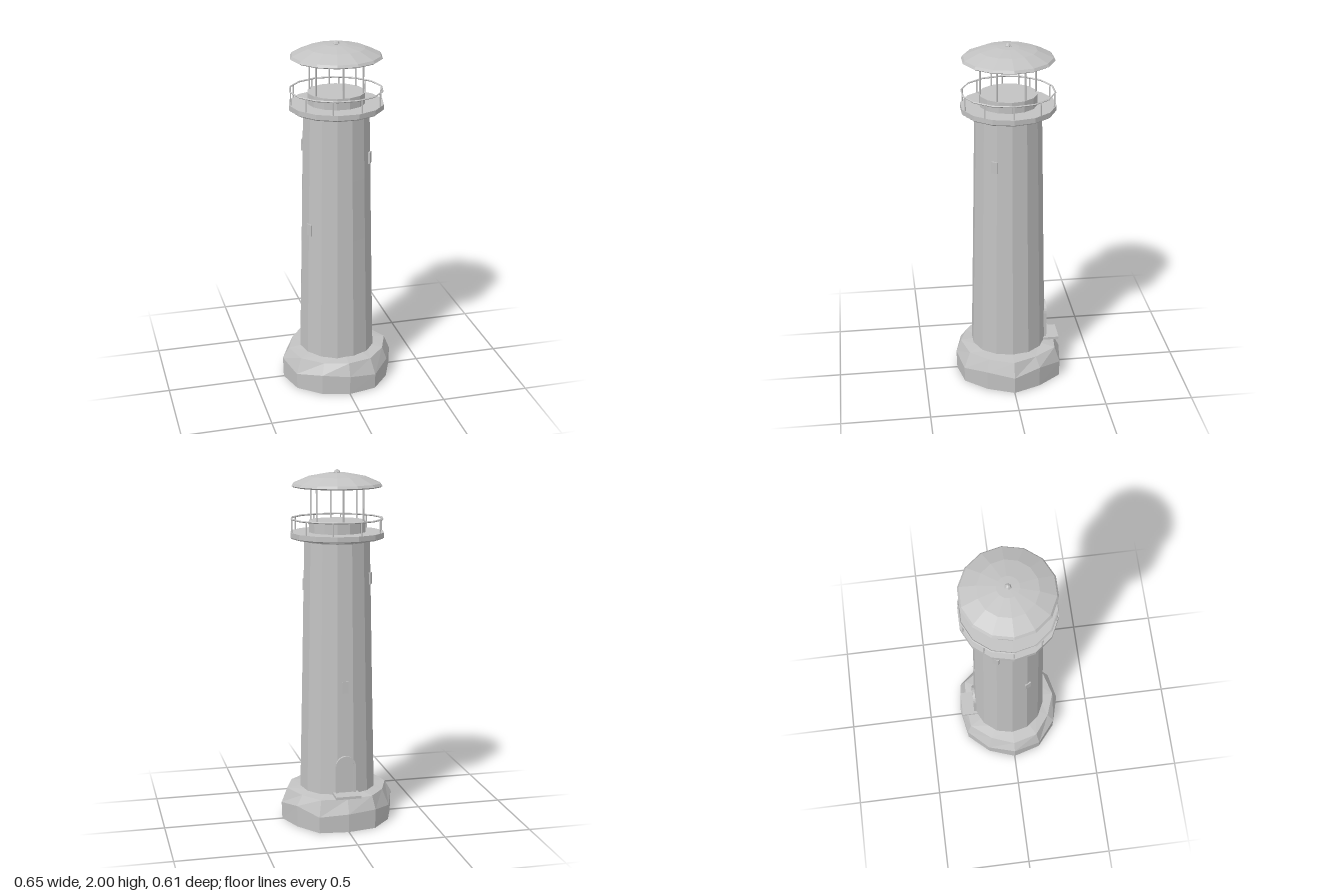
import * as THREE from 'three';

const SIDES = 14;
const stone = new THREE.MeshStandardMaterial({ color: 0xc2c2c2 });
stone.name = 'pale grey stone';

// Faceted mesh with a name
function part(name, geometry, parent) {
  const flat = geometry.index ? geometry.toNonIndexed() : geometry;
  flat.computeVertexNormals();
  const mesh = new THREE.Mesh(flat, stone);
  mesh.name = name;
  parent.add(mesh);
  return mesh;
}

// Turned part: profile of [radius, y] from bottom to top, a corner on the x axis
function turned(name, profile, parent, sides = SIDES) {
  const points = profile.map(([r, y]) => new THREE.Vector2(r, y));
  return part(name, new THREE.LatheGeometry(points, sides, Math.PI / 2), parent);
}

// Irregular rock foundation: rings of corners scaled from one rough outline
function rockBase(parent) {
  const outline = [0.329, 0.307, 0.321, 0.311, 0.312, 0.326, 0.329, 0.316, 0.324, 0.31, 0.334, 0.31];
  const wobble = [0.01, -0.012, 0.004, 0, -0.008, 0.012, -0.004, 0.006, -0.01, 0.004, 0.01, -0.008];
  const rings = [[0, 0], [0.98, 0], [0.99, 0.105], [0.88, 0.182], [0.6, 0.195], [0, 0.195]];
  const n = outline.length, positions = [], index = [];
  rings.forEach(([scale, y], k) => {
    for (let i = 0; i < n; i++) {
      const a = (i / n) * Math.PI * 2;
      const w = k === 2 || k === 3 ? wobble[(i + k * 3) % n] : 0;
      const r = outline[i] * scale + (k === 3 ? w * 0.6 : 0);
      positions.push(Math.cos(a) * r, y + (k === 2 ? w * 1.5 : w * 0.3), Math.sin(a) * r);
    }
  });
  for (let k = 0; k < rings.length - 1; k++) {
    for (let i = 0; i < n; i++) {
      const a = k * n + i, b = k * n + (i + 1) % n;
      if (k > 0) index.push(a, a + n, b);
      if (k < rings.length - 2) index.push(b, a + n, b + n);
    }
  }
  // Flat underside
  for (let i = 0; i < n; i++) index.push(0, n + i, n + (i + 1) % n);
  const g = new THREE.BufferGeometry();
  g.setAttribute('position', new THREE.Float32BufferAttribute(positions, 3));
  g.setIndex(index);
  part('rockBase', g, parent);
}

// Arched outline, standing on y = 0
function arch(path, width, straight) {
  path.moveTo(-width / 2, 0);
  path.lineTo(width / 2, 0);
  path.lineTo(width / 2, straight);
  path.absarc(0, straight, width / 2, 0, Math.PI, false);
  path.closePath();
  return path;
}

function doorway(parent) {
  const door = new THREE.Group();
  door.name = 'doorway';
  const extrude = (shape, depth) => new THREE.ExtrudeGeometry(shape, { depth, bevelEnabled: false, curveSegments: 6 });
  const frame = arch(new THREE.Shape(), 0.114, 0.16);
  const hole = new THREE.Path();
  frame.holes.push(arch(hole, 0.09, 0.16));
  part('doorFrame', extrude(frame, 0.03), door);
  part('doorPanel', extrude(arch(new THREE.Shape(), 0.092, 0.16), 0.024), door);
  door.rotation.y = Math.PI;
  door.position.set(0, 0.2, -0.191);
  parent.add(door);
  part('doorStep', new THREE.BoxGeometry(0.145, 0.015, 0.1), parent).position.set(0, 0.198, -0.243);
}

export function createModel() {
  const model = new THREE.Group();
  model.name = 'lighthouse';
  rockBase(model);

  const building = new THREE.Group();
  building.name = 'building';
  building.position.set(-0.002, 0, -0.002);
  model.add(building);

  // Tapering tower
  turned('tower', [[0.217, 0.185], [0.209, 0.54], [0.201, 0.9], [0.194, 1.25], [0.186, 1.61]], building);
  turned('towerCollar', [[0.186, 1.605], [0.189, 1.61], [0.189, 1.622]], building);

  // Gallery deck
  turned('galleryDeck', [[0, 1.62], [0.255, 1.62], [0.264, 1.627], [0.264, 1.655], [0, 1.655]], building);

  // Gallery railing
  for (let i = 0; i < 10; i++) {
    const a = (i / 10) * Math.PI * 2;
    part('railingPost', new THREE.CylinderGeometry(0.004, 0.004, 0.078, 6), building)
      .position.set(Math.cos(a) * 0.255, 1.69, Math.sin(a) * 0.255);
  }
  const rail = new THREE.TorusGeometry(0.257, 0.005, 4, SIDES);
  rail.rotateX(Math.PI / 2);
  part('railingTop', rail, building).position.y = 1.728;

  // Lantern room: low wall and roof posts
  turned('lanternWall', [[0.16, 1.65], [0.16, 1.717], [0, 1.717]], building);
  for (let i = 0; i < 6; i++) {
    const a = ((i + 0.5) / 6) * Math.PI * 2;
    part('lanternPost', new THREE.CylinderGeometry(0.005, 0.005, 0.195, 6), building)
      .position.set(Math.cos(a) * 0.152, 1.81, Math.sin(a) * 0.152);
  }

  // Shallow domed roof and finial
  turned('roof', [[0, 1.902], [0.243, 1.902], [0.255, 1.909], [0.245, 1.923], [0.158, 1.96],
    [0.06, 1.978], [0, 1.981]], building);
  turned('finial', [[0.012, 1.965], [0.019, 1.982], [0.012, 1.993], [0, 2.0]], building, 6);

  // Small windows: angle from +x towards +z, height, distance from the axis
  const windows = [[30, 1.352, 0.187], [153, 0.953, 0.194], [207, 1.4, 0.186], [270, 0.81, 0.194]];
  for (const [degrees, y, r] of windows) {
    const a = THREE.MathUtils.degToRad(degrees);
    const pane = part('window', new THREE.BoxGeometry(0.02, 0.066, 0.036), building);
    pane.position.set(Math.cos(a) * r, y, Math.sin(a) * r);
    pane.rotation.y = -a;
  }

  doorway(building);
  return model;
}
